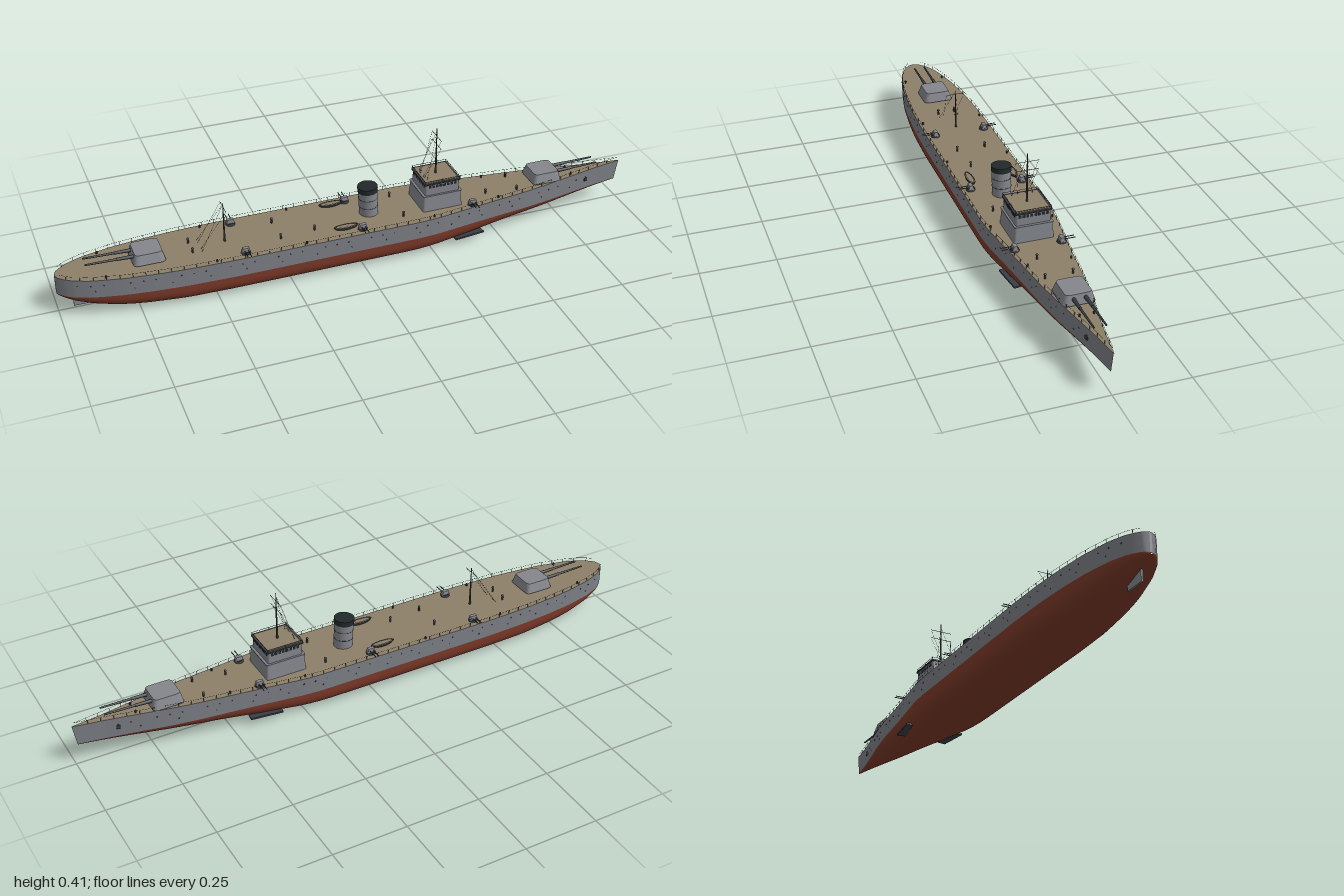
import * as THREE from 'three';

const mat = (name, color) => Object.assign(new THREE.MeshStandardMaterial({ color }), { name });
const WL = 0.074; // waterline height

// Piecewise interpolation through [x, value] pairs
function lerpTable(t, x) {
  if (x <= t[0][0]) return t[0][1];
  for (let i = 1; i < t.length; i++) {
    const [x0, a] = t[i - 1], [x1, b] = t[i];
    if (x <= x1) return a + (b - a) * (x - x0) / (x1 - x0);
  }
  return t[t.length - 1][1];
}
const BEAM = [[-1, 0.004], [-0.993, 0.02], [-0.975, 0.037], [-0.95, 0.053], [-0.9, 0.073], [-0.8, 0.095], [-0.7, 0.107],
  [-0.6, 0.115], [-0.45, 0.12], [0.2, 0.12], [0.26, 0.116], [0.4, 0.096], [0.5, 0.083], [0.6, 0.071], [0.7, 0.055],
  [0.8, 0.035], [0.9, 0.016], [1, 0.001]];
const KEEL = [[-1, 0.068], [-0.95, 0.045], [-0.9, 0.029], [-0.83, 0.013], [-0.75, 0.004], [-0.6, 0], [0.25, 0],
  [0.4, 0.009], [0.6, 0.028], [0.8, 0.049], [1, 0.072]];
const FULLNESS = [[-1, 2], [-0.6, 3.2], [0.15, 3.2], [0.55, 1.9], [1, 1.4]];
const beam = x => lerpTable(BEAM, x);
const deckY = x => 0.137 + 0.008 * Math.max(0, (x - 0.3) / 0.7) ** 1.5;

// Skin through rows of points; each row is one cross-section
function loft(rows) {
  const n = rows[0].length, idx = [];
  for (let i = 0; i < rows.length - 1; i++) for (let j = 0; j < n - 1; j++) {
    const a = i * n + j, b = a + n;
    idx.push(a, a + 1, b + 1, a, b + 1, b);
  }
  const g = new THREE.BufferGeometry();
  g.setAttribute('position', new THREE.Float32BufferAttribute(rows.flat(2), 3));
  g.setIndex(idx);
  g.computeVertexNormals();
  return g;
}

// Rounded-corner block standing on y = 0, narrowing towards its top
function block(w, h, d, r, topX = 1, topZ = 1) {
  const s = new THREE.Shape(), a = w / 2, b = d / 2;
  s.moveTo(-a + r, -b).lineTo(a - r, -b).quadraticCurveTo(a, -b, a, -b + r).lineTo(a, b - r).quadraticCurveTo(a, b, a - r, b);
  s.lineTo(-a + r, b).quadraticCurveTo(-a, b, -a, b - r).lineTo(-a, -b + r).quadraticCurveTo(-a, -b, -a + r, -b);
  const g = new THREE.ExtrudeGeometry(s, { depth: h, bevelEnabled: false, curveSegments: 4 }).rotateX(-Math.PI / 2);
  const p = g.attributes.position;
  for (let i = 0; i < p.count; i++) if (p.getY(i) > h / 2) p.setXYZ(i, p.getX(i) * topX, h, p.getZ(i) * topZ);
  g.computeVertexNormals();
  return g;
}

export function createModel() {
  const ship = new THREE.Group();
  ship.name = 'warship';
  const grey = mat('hull grey', 0x7c7f85), light = mat('superstructure grey', 0x83868c), red = mat('bottom red', 0x7d3a29);
  const tan = mat('deck tan', 0x8c7f68), dark = mat('dark fittings', 0x3a3e42), black = mat('funnel black', 0x22292a);

  const add = (name, geo, m, x = 0, y = 0, z = 0, parent = ship) => {
    const mesh = new THREE.Mesh(geo, m);
    mesh.name = name;
    mesh.position.set(x, y, z);
    parent.add(mesh);
    return mesh;
  };
  // Straight rod between two points
  const rod = (name, p, q, r, m, parent = ship, r2 = r) => {
    const a = new THREE.Vector3(...p), b = new THREE.Vector3(...q), d = b.clone().sub(a);
    const mesh = add(name, new THREE.CylinderGeometry(r2, r, d.length(), r > 0.002 ? 12 : 5), m, 0, 0, 0, parent);
    mesh.position.copy(a).add(b).multiplyScalar(0.5);
    mesh.quaternion.setFromUnitVectors(new THREE.Vector3(0, 1, 0), d.normalize());
    return mesh;
  };

  // Hull: stations are packed closer at both ends
  const xs = Array.from({ length: 81 }, (_, i) => -Math.cos(Math.PI * i / 80));
  const rake = (x, y) => x - 0.012 * Math.max(0, (x - 0.7) / 0.3) * (deckY(x) - y) / 0.07;
  const bottom = xs.map(x => {
    const b = beam(x), k = lerpTable(KEEL, x), e = 2 / lerpTable(FULLNESS, x);
    return Array.from({ length: 29 }, (_, j) => {
      const t = Math.PI * j / 28, c = Math.cos(t), s = Math.max(0, Math.sin(t));
      return [rake(x, WL), WL - (WL - k) * s ** e, b * Math.sign(c) * Math.abs(c) ** e];
    });
  });
  add('hullBottom', loft(bottom), red);
  for (const s of [1, -1]) {
    const wall = xs.map(x => {
      const top = [x, deckY(x), s * beam(x)], low = [rake(x, WL), WL, s * beam(x)];
      return s > 0 ? [top, low] : [low, top];
    });
    add('hullSide', loft(wall), grey);
  }
  add('deck', loft(xs.map(x => [[x, deckY(x), -beam(x)], [x, deckY(x), beam(x)]])), tan);
  add('sternPlate', new THREE.BoxGeometry(0.001, 0.065, 0.008), grey, -0.9995, 0.1045, 0);

  // Rudder and bilge fins
  add('rudder', new THREE.BoxGeometry(0.07, 0.04, 0.006), light, -0.915, 0.028, 0);
  for (const s of [1, -1]) {
    const fin = add('bilgeFin', new THREE.BoxGeometry(0.11, 0.006, 0.03), dark, 0.385, 0.027, s * 0.084);
    fin.rotation.y = s * 0.12;
    const anchor = add('anchor', new THREE.BoxGeometry(0.012, 0.012, 0.005), dark, 0.86, 0.108, s * 0.024);
    anchor.rotation.y = s * 0.19;
  }

  // Portholes and deck rails on both sides
  const hole = new THREE.CylinderGeometry(0.0024, 0.0024, 0.002, 8).rotateX(Math.PI / 2);
  const post = new THREE.BoxGeometry(0.0012, 0.013, 0.0012);
  for (const s of [1, -1]) {
    for (let i = 0; i < 46; i++) {
      const x = -0.94 + i * 0.04;
      const turn = Math.atan2(beam(x - 0.01) - beam(x + 0.01), 0.02);
      if (i % 4 !== 3) add('porthole', hole, dark, x, 0.117, s * beam(x)).rotation.y = s * turn;
      if (i % 3 === 1) add('porthole', hole, dark, x + 0.012, 0.096, s * beam(x + 0.012)).rotation.y = s * turn;
    }
    for (let i = 0; i < 49; i++) {
      const x = -0.97 + i * 0.04;
      add('railPost', post, dark, x, deckY(x) + 0.0065, s * (beam(x) - 0.002));
    }
    const path = xs.slice(4, -3).map(x => new THREE.Vector3(x, deckY(x) + 0.0125, s * (beam(x) - 0.002)));
    add('railWire', new THREE.TubeGeometry(new THREE.CatmullRomCurve3(path), 90, 0.0005, 4), dark);
  }

  // Twin-gun turrets, fore and aft
  for (const [x, turn] of [[0.697, 0], [-0.703, Math.PI]]) {
    const t = new THREE.Group();
    t.name = 'gunTurret';
    t.position.set(x, deckY(x) - 0.001, 0);
    t.rotation.y = turn;
    ship.add(t);
    add('turretBase', new THREE.CylinderGeometry(0.044, 0.044, 0.006, 24), dark, 0, 0.003, 0, t);
    add('turretHouse', block(0.106, 0.033, 0.106, 0.018, 0.84, 0.8), light, 0, 0.005, 0, t);
    for (const s of [1, -1]) {
      rod('barrelSleeve', [0.03, 0.024, s * 0.019], [0.1, 0.026, s * 0.019], 0.0065, dark, t, 0.005);
      rod('gunBarrel', [0.1, 0.026, s * 0.019], [0.202, 0.028, s * 0.019], 0.0042, dark, t, 0.0028);
    }
  }

  // Funnel with black cap
  const funnel = new THREE.Group();
  funnel.name = 'funnel';
  funnel.position.set(0.055, 0.137, 0);
  funnel.rotation.z = 0.05;
  ship.add(funnel);
  add('funnelBody', new THREE.CylinderGeometry(0.032, 0.032, 0.09, 28), light, 0, 0.043, 0, funnel);
  add('funnelCap', new THREE.CylinderGeometry(0.034, 0.034, 0.018, 28), black, 0, 0.095, 0, funnel);
  for (const h of [0.03, 0.06]) add('funnelBand', new THREE.CylinderGeometry(0.0327, 0.0327, 0.002, 28), dark, 0, h, 0, funnel);

  // Bridge: two tiers, windows, tan roof with a lip
  const bx = 0.296;
  add('bridgeLower', block(0.142, 0.056, 0.134, 0.008, 0.95, 0.93), light, bx, 0.136, 0);
  add('bridgeLedge', block(0.14, 0.003, 0.13, 0.008), grey, bx, 0.191, 0);
  add('bridgeUpper', block(0.122, 0.042, 0.116, 0.006), light, bx, 0.193, 0);
  add('bridgeRoof', block(0.13, 0.005, 0.124, 0.006), dark, bx, 0.234, 0);
  add('bridgeRoofDeck', block(0.114, 0.002, 0.108, 0.004), tan, bx, 0.238, 0);
  for (const s of [1, -1]) {
    for (let i = 0; i < 8; i++) add('sideWindow', new THREE.BoxGeometry(0.009, 0.009, 0.002), black, bx - 0.045 + i * 0.013, 0.225, s * 0.058);
    for (let i = 0; i < 8; i++) add('endWindow', new THREE.BoxGeometry(0.002, 0.009, 0.009), black, bx + s * 0.061, 0.225, -0.0455 + i * 0.013);
    rod('roofRail', [bx - 0.062, 0.247, s * 0.059], [bx + 0.062, 0.247, s * 0.059], 0.0008, dark);
    rod('roofRail', [bx + s * 0.062, 0.247, -0.059], [bx + s * 0.062, 0.247, 0.059], 0.0008, dark);
    for (const e of [-1, 0, 1]) rod('roofRailPost', [bx + e * 0.062, 0.238, s * 0.059], [bx + e * 0.062, 0.248, s * 0.059], 0.0008, dark);
  }

  // Masts with yards and rigging
  rod('foreMast', [0.295, 0.238, 0], [0.295, 0.41, 0], 0.0036, dark, ship, 0.0012);
  rod('aftMast', [-0.445, 0.136, 0], [-0.445, 0.282, 0], 0.0036, dark, ship, 0.0012);
  for (const [x, y, w] of [[0.295, 0.381, 0.039], [0.295, 0.351, 0.039], [-0.445, 0.267, 0.034]])
    rod('yard', [x, y, -w], [x, y, w], 0.0009, dark);
  for (const s of [1, -1]) {
    rod('rigging', [0.295, 0.381, s * 0.038], [0.245, 0.24, s * 0.012], 0.0004, dark);
    rod('rigging', [0.295, 0.351, s * 0.038], [0.245, 0.24, s * 0.02], 0.0004, dark);
    rod('rigging', [0.295, 0.4, 0], [0.25, 0.24, s * 0.035], 0.0004, dark);
    rod('rigging', [-0.445, 0.267, s * 0.033], [-0.53, 0.138, s * 0.02], 0.0004, dark);
    rod('rigging', [-0.445, 0.278, 0], [-0.53, 0.138, s * 0.035], 0.0004, dark);
  }

  // Light guns along both sides
  for (const s of [1, -1]) for (const [x, z] of [[-0.4, 0.09], [0, 0.09], [0.4, 0.078]]) {
    add('lightGunBase', new THREE.CylinderGeometry(0.014, 0.016, 0.008, 16), dark, x, 0.141, s * z);
    add('lightGunShield', block(0.028, 0.014, 0.018, 0.004, 0.8, 0.7), light, x, 0.143, s * z);
    for (const e of [-1, 1]) rod('lightGunBarrel', [x + e * 0.006, 0.149, s * z], [x + e * 0.006, 0.149, s * (z + 0.044)], 0.0016, dark);
  }

  // Ship's boats
  const hullCup = new THREE.SphereGeometry(1, 20, 8, 0, Math.PI * 2, Math.PI / 2, Math.PI / 2).scale(0.042, 0.013, 0.013);
  for (const s of [1, -1]) {
    add('boatHull', hullCup, dark, -0.053, 0.151, s * 0.075);
    add('boatInside', new THREE.CircleGeometry(1, 24).rotateX(-Math.PI / 2).scale(0.036, 1, 0.009), tan, -0.053, 0.152, s * 0.075);
    add('boatRim', new THREE.TorusGeometry(1, 0.09, 6, 24).rotateX(Math.PI / 2).scale(0.04, 0.02, 0.012), dark, -0.053, 0.151, s * 0.075);
  }

  // Ventilators and bollards
  for (const [x, z] of [[-0.56, 0.03], [-0.56, -0.03], [-0.27, 0.05], [-0.27, -0.05], [-0.15, 0.04], [0.155, 0.065], [0.155, -0.065],
    [0.47, 0.03], [0.58, 0.045], [0.58, -0.045]]) {
    rod('ventilator', [x, 0.136, z], [x, 0.153, z], 0.0032, dark);
    add('ventilatorHead', new THREE.SphereGeometry(0.0045, 10, 8), dark, x, 0.153, z);
  }
  for (const s of [1, -1]) for (const x of [-0.85, -0.5, -0.2, 0.25, 0.5, 0.8])
    add('bollard', new THREE.CylinderGeometry(0.003, 0.003, 0.009, 8), dark, x, deckY(x) + 0.004, s * (beam(x) - 0.012));
  return ship;
}
